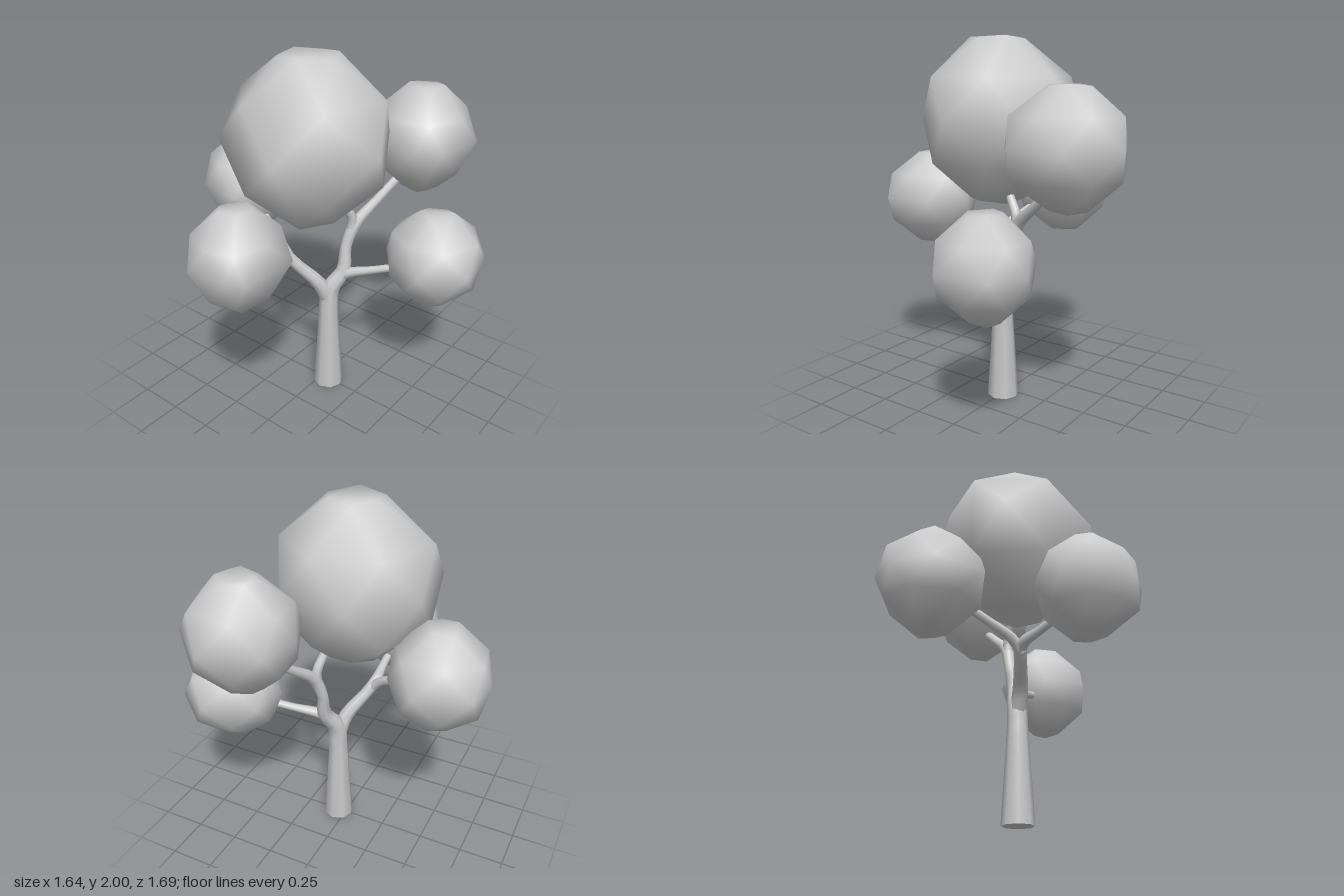
import * as THREE from 'three';
import { ConvexGeometry } from 'three/addons/geometries/ConvexGeometry.js';
import { mergeVertices } from 'three/addons/utils/BufferGeometryUtils.js';

const material = new THREE.MeshStandardMaterial({ color: 0xcccccc });

function addMesh(group, name, geometry) {
  const mesh = new THREE.Mesh(geometry, material);
  mesh.name = name;
  group.add(mesh);
}

// Faceted leaf ball: equator from a plan outline [x, z], staggered rings
// at the edge midpoints above and below, and small flat caps.
function leafBall(outline, bottom, top, midScale) {
  const n = outline.length, cy = (top + bottom) / 2, h = (top - bottom) / 2;
  const xs = outline.map(p => p[0]), zs = outline.map(p => p[1]);
  const cx = (Math.min(...xs) + Math.max(...xs)) / 2;
  const cz = (Math.min(...zs) + Math.max(...zs)) / 2;
  const points = [];
  const put = (x, z, scale, dy) =>
    points.push(new THREE.Vector3(cx + (x - cx) * scale, cy + dy * h, cz + (z - cz) * scale));
  outline.forEach(([x, z], i) => {
    const [x2, z2] = outline[(i + 1) % n];
    put(x, z, 1, 0);
    for (const s of [-1, 1]) {
      put((x + x2) / 2, (z + z2) / 2, midScale, s * 0.52);
      put(x, z, 0.34, s * (0.97 + 0.03 * (i % 2)));
    }
  });
  // Merge the hull corners so the shading runs smoothly over the facets
  let geometry = new ConvexGeometry(points);
  geometry.deleteAttribute('normal');
  geometry = mergeVertices(geometry, 1e-4);
  geometry.computeVertexNormals();
  return geometry;
}

// Tapered limb through stations [x, y, z, radius]
function limb(stations, sides = 8) {
  const curve = new THREE.CatmullRomCurve3(stations.map(s => new THREE.Vector3(s[0], s[1], s[2])));
  curve.getPointAt = (t, target) => curve.getPoint(t, target);
  curve.getTangentAt = (t, target) => curve.getTangent(t, target);
  const last = stations.length - 1, segments = last * 3;
  const geometry = new THREE.TubeGeometry(curve, segments, 1, sides);
  const pos = geometry.attributes.position, v = new THREE.Vector3();
  for (let i = 0; i <= segments; i++) {
    const centre = curve.getPoint(i / segments);
    const f = (i / segments) * last, k = Math.min(Math.floor(f), last - 1);
    const radius = THREE.MathUtils.lerp(stations[k][3], stations[k + 1][3], f - k);
    for (let j = 0; j <= sides; j++) {
      const index = i * (sides + 1) + j;
      v.fromBufferAttribute(pos, index).sub(centre).multiplyScalar(radius).add(centre);
      pos.setXYZ(index, v.x, v.y, v.z);
    }
  }
  return geometry;
}

export function createModel() {
  const group = new THREE.Group();

  // Trunk, running on into the rear bough
  addMesh(group, 'trunk', limb([
    [0.05, 0, 0, 0.088], [0.05, 0.28, 0, 0.07], [0.05, 0.52, 0, 0.056], [0.055, 0.65, -0.01, 0.054],
    [0.1, 0.76, -0.07, 0.042], [0.095, 0.9, -0.1, 0.032], [0.12, 1.03, -0.15, 0.035],
    [0.17, 1.14, -0.28, 0.026], [0.23, 1.27, -0.44, 0.024],
  ]));
  const base = new THREE.CircleGeometry(0.086, 8).rotateX(Math.PI / 2).translate(0.05, 0.001, 0);
  addMesh(group, 'trunkBase', base);

  // Side boughs
  addMesh(group, 'frontBough', limb([
    [0.05, 0.58, 0, 0.045], [0.02, 0.7, 0.05, 0.042], [-0.06, 0.82, 0.13, 0.034],
    [-0.1, 0.89, 0.18, 0.034], [-0.095, 0.93, 0.3, 0.024], [-0.09, 0.98, 0.46, 0.022],
  ]));
  addMesh(group, 'rightBranch', limb([
    [-0.08, 0.85, 0.16, 0.03], [-0.15, 0.92, 0.15, 0.028], [-0.26, 0.98, 0.11, 0.024], [-0.42, 1.06, 0.05, 0.022],
  ]));
  addMesh(group, 'leftBranch', limb([
    [0.08, 0.73, -0.05, 0.035], [0.15, 0.76, -0.08, 0.03], [0.26, 0.79, -0.13, 0.023], [0.42, 0.84, -0.2, 0.022],
  ]));
  addMesh(group, 'upperBranch', limb([
    [0.11, 0.99, -0.13, 0.03], [0.11, 1.07, -0.13, 0.028], [0.09, 1.16, -0.08, 0.024], [0.06, 1.3, -0.02, 0.022],
  ]));

  // Leaf balls
  addMesh(group, 'crownLeaves', leafBall(
    [[-0.16, -0.36], [0.24, -0.27], [0.43, 0.1], [0.1, 0.52], [-0.41, 0.34], [-0.44, -0.07]], 1.12, 2, 1));
  addMesh(group, 'backLeaves', leafBall(
    [[0.33, -0.85], [0.56, -0.66], [0.52, -0.35], [0.4, -0.26], [0.09, -0.31], [0, -0.52], [0.05, -0.73]],
    1.17, 1.76, 0.96));
  addMesh(group, 'rightLeaves', leafBall(
    [[-0.78, -0.21], [-0.5, -0.32], [-0.32, -0.18], [-0.28, 0.05], [-0.43, 0.24], [-0.71, 0.19], [-0.82, -0.02]],
    0.88, 1.45, 0.96));
  addMesh(group, 'frontLeaves', leafBall(
    [[-0.27, 0.42], [-0.05, 0.33], [0.17, 0.45], [0.15, 0.77], [0.06, 0.81], [-0.16, 0.84], [-0.32, 0.65]],
    0.81, 1.35, 0.96));
  addMesh(group, 'leftLeaves', leafBall(
    [[0.6, -0.53], [0.78, -0.44], [0.82, -0.16], [0.62, 0], [0.4, -0.09], [0.3, -0.2], [0.33, -0.4]],
    0.65, 1.18, 0.96));

  return group;
}
